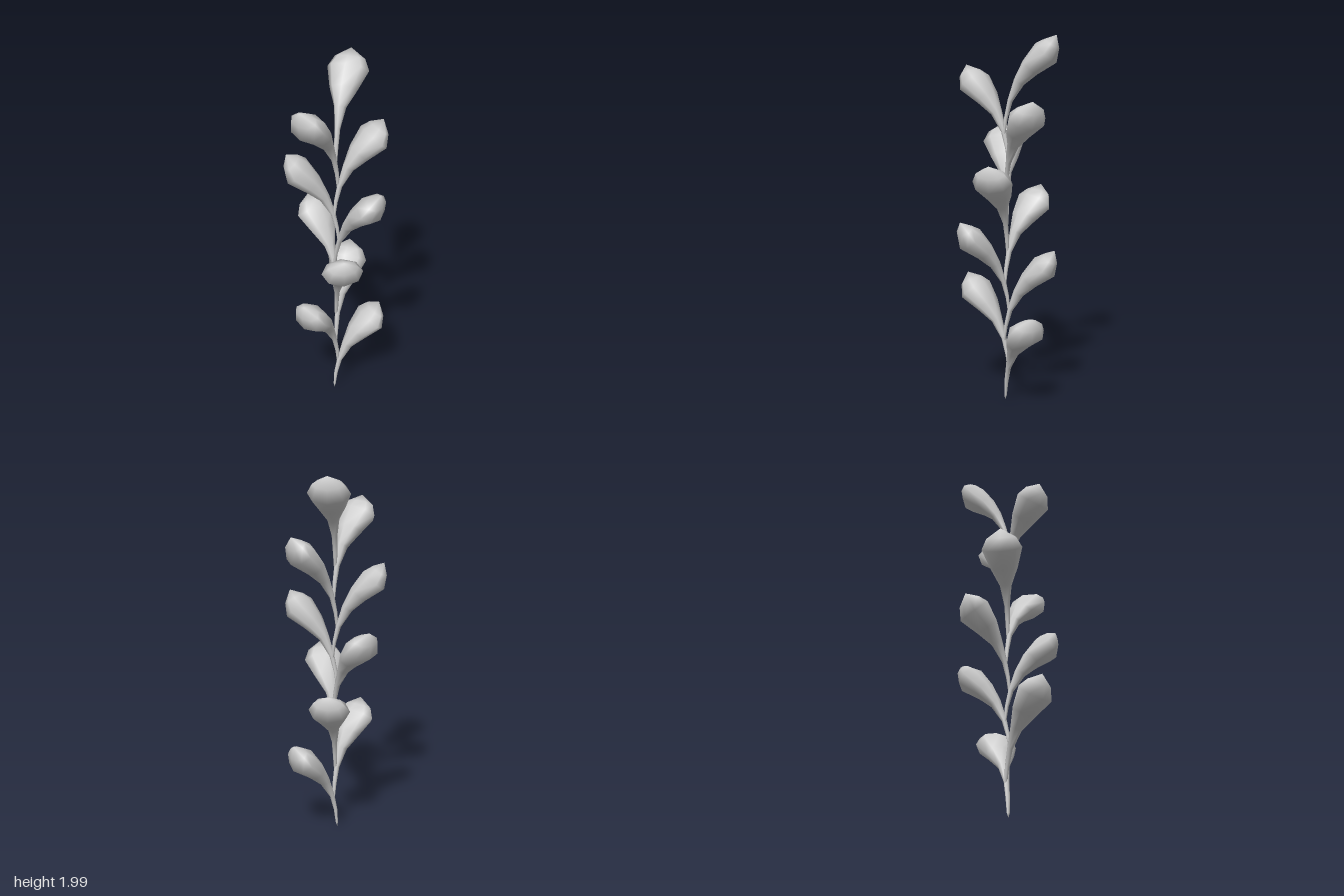
import * as THREE from 'three';

const SIDES = 8;
const COUNT = 10;
const STEP_Y = 0.162;
const TURN = (Math.PI * 2 * 3) / 7; // seven directions, three sevenths of a turn each

// Cross-sections along one sprig: [outward, up, half width, half thickness]
const SECTIONS = [
  [-0.012, 0.03, 0.008, 0.006],
  [-0.004, 0.11, 0.012, 0.01],
  [0.018, 0.2, 0.015, 0.014],
  [0.064, 0.297, 0.032, 0.03],
  [0.122, 0.372, 0.074, 0.052],
  [0.204, 0.447, 0.11, 0.074],
  [0.234, 0.495, 0.08, 0.045],
];
const BASE = [-0.015, 0.003, 0];
const TIP = [0.258, 0.539, 0];

// Curved stalk swelling into a flattened bulb, lying in the xy plane
function sprigGeometry() {
  const positions = [];
  const index = [];
  const last = SECTIONS.length - 1;
  SECTIONS.forEach(([x, y, width, thick], i) => {
    const a = SECTIONS[Math.max(i - 1, 0)];
    const b = SECTIONS[Math.min(i + 1, last)];
    const t = new THREE.Vector2(b[0] - a[0], b[1] - a[1]).normalize();
    for (let j = 0; j < SIDES; j++) {
      const angle = (j / SIDES) * Math.PI * 2;
      const p = Math.cos(angle) * thick;
      positions.push(x + t.y * p, y - t.x * p, -Math.sin(angle) * width);
    }
  });
  const base = positions.length / 3;
  positions.push(...BASE, ...TIP);
  for (let j = 0; j < SIDES; j++) {
    const k = (j + 1) % SIDES;
    for (let i = 0; i < last; i++) {
      const r = i * SIDES;
      const s = r + SIDES;
      index.push(r + j, r + k, s + k, r + j, s + k, s + j);
    }
    index.push(base, k, j); // pointed foot
    index.push(last * SIDES + j, last * SIDES + k, base + 1); // blunt tip
  }
  const geometry = new THREE.BufferGeometry();
  geometry.setAttribute('position', new THREE.Float32BufferAttribute(positions, 3));
  geometry.setIndex(index);
  geometry.computeVertexNormals();
  return geometry;
}

export function createModel() {
  const model = new THREE.Group();
  model.name = 'leafStem';
  const material = new THREE.MeshStandardMaterial({ color: 0xcccccc });
  const geometry = sprigGeometry();

  // Sprigs climb the axis in a spiral, each rising out of the one below
  for (let i = 0; i < COUNT; i++) {
    const sprig = new THREE.Mesh(geometry, material);
    sprig.name = `leafSprig${i + 1}`;
    sprig.position.y = i * STEP_Y;
    sprig.rotation.y = -i * TURN;
    model.add(sprig);
  }
  return model;
}
